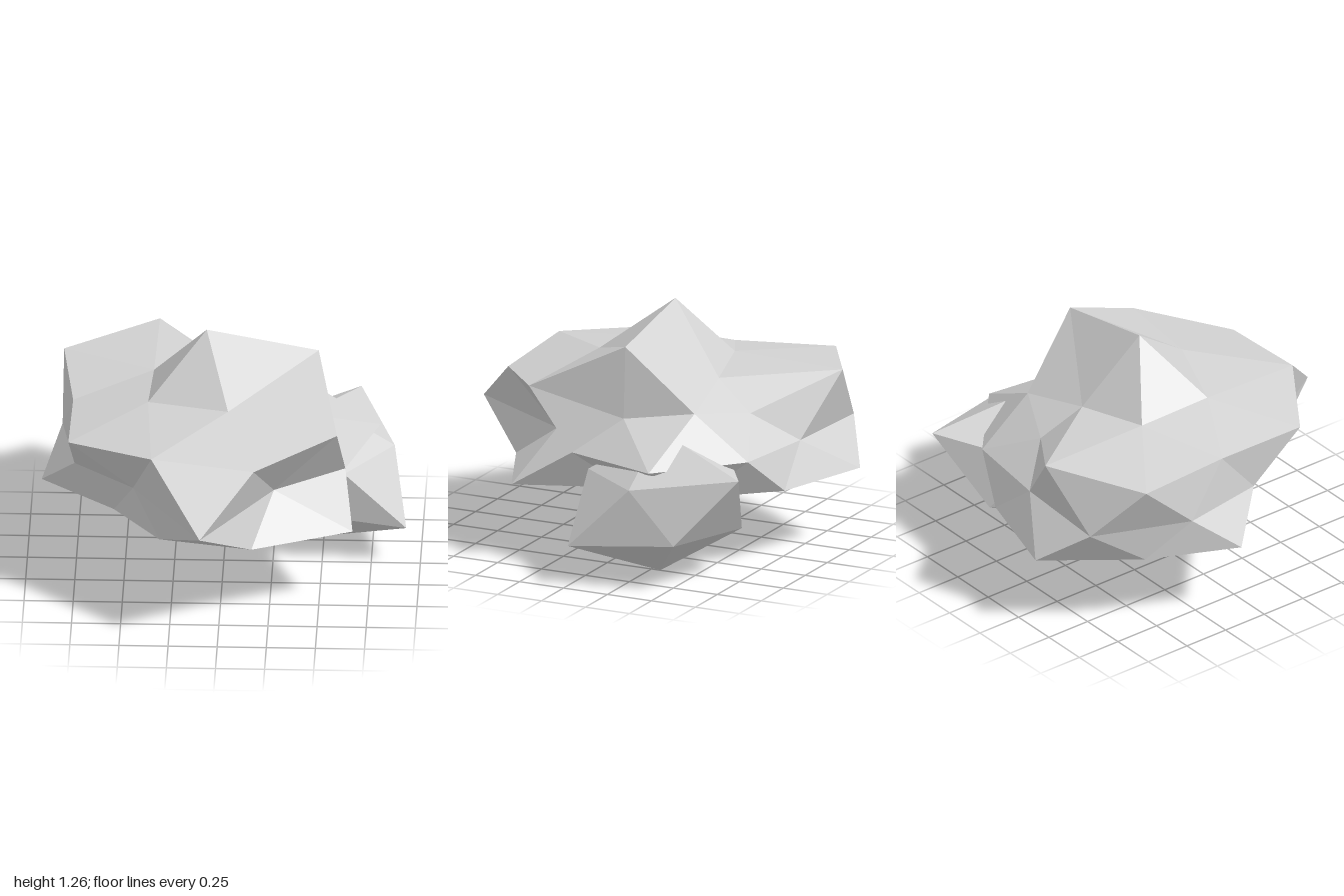
import * as THREE from 'three';

// Ring of points around y: radii start at azimuth `start` (degrees from +z towards +x)
function ring(radii, start, heightOf) {
  return radii.map((r, i) => {
    const a = THREE.MathUtils.degToRad(start + (360 / radii.length) * i);
    return [Math.sin(a) * r, heightOf(r, i), Math.cos(a) * r];
  });
}

// Faceted mesh from triangles of points
function facetedMesh(name, triangles, material, position) {
  const geometry = new THREE.BufferGeometry();
  geometry.setAttribute('position', new THREE.Float32BufferAttribute(triangles.flat(2), 3));
  geometry.computeVertexNormals();
  const mesh = new THREE.Mesh(geometry, material);
  mesh.name = name;
  mesh.position.set(...position);
  return mesh;
}

// Zigzag band of triangles; lower ring point j + shift lies just before upper point j
function band(upper, lower, shift) {
  const n = upper.length;
  const out = [];
  for (let j = 0; j < n; j++) {
    const l0 = lower[(j + shift) % n];
    const l1 = lower[(j + shift + 1) % n];
    out.push([upper[j], l0, l1], [upper[j], l1, upper[(j + 1) % n]]);
  }
  return out;
}

// Five-sided cap: pole, inner ring of 5, outer ring of 10
function cap(pole, inner, outer, offset, flip) {
  const out = [];
  for (let k = 0; k < 5; k++) {
    const p = inner[k], q = inner[(k + 1) % 5];
    const [a, b, c] = [0, 1, 2].map((i) => outer[(2 * k + offset + i) % 10]);
    out.push([pole, p, q], [p, a, b], [p, b, q], [q, b, c]);
  }
  return flip ? out.map(([a, b, c]) => [a, c, b]) : out;
}

export function createModel() {
  const group = new THREE.Group();
  group.name = 'rockCluster';
  const stone = new THREE.MeshStandardMaterial({ color: 0xd2d2d2, flatShading: true });
  stone.name = 'pale stone grey';

  // Large boulder: squashed, uneven ball with an almost flat underside
  const floor = -0.2;
  const crown = ring([0.39, 0.57, 0.31, 0.34, 0.36], 18, (r) => 0.97 * r);
  const shoulder = ring([0.86, 0.84, 0.59, 0.59, 0.535, 0.86, 0.92, 0.68, 0.85, 0.83], 18,
    (r, i) => r * (i % 2 ? 0.37 : 0.3));
  const waist = ring([1.09, 0.61, 0.75, 0.92, 0.8, 0.71, 0.92, 0.78, 0.7, 0.61], 0, () => 0);
  const foot = ring([0.82, 0.94, 0.55, 0.68, 0.78, 0.95, 0.78, 0.84, 0.57, 0.71], 18, () => floor);
  const base = ring([0.4, 0.4, 0.4, 0.4, 0.4], 54, () => floor - 0.007);
  const boulder = [
    ...cap([0, 0.66, 0], crown, shoulder, 0, false),
    ...band(shoulder, waist, 0),
    ...band(waist, foot, 9),
    ...cap([0, floor, 0], base, foot, 1, true),
  ];
  group.add(facetedMesh('largeBoulder', boulder, stone, [-0.09, 0.6, -0.092]));

  // Small rock: uneven twenty-sided stone tucked under the boulder
  const top = [0, 0.35, 0];
  const bottom = [0, -0.394, 0];
  const upper = ring([0.37, 0.36, 0.56, 0.4, 0.4], 18, (r) => 0.35 * r);
  const lower = ring([0.53, 0.41, 0.42, 0.44, 0.33], 54, (r) => -0.36 * r);
  const rock = band(upper, lower, 4);
  for (let k = 0; k < 5; k++) {
    rock.push([top, upper[k], upper[(k + 1) % 5]], [bottom, lower[(k + 1) % 5], lower[k]]);
  }
  group.add(facetedMesh('smallRock', rock, stone, [0.5, 0.394, -0.3]));

  return group;
}
